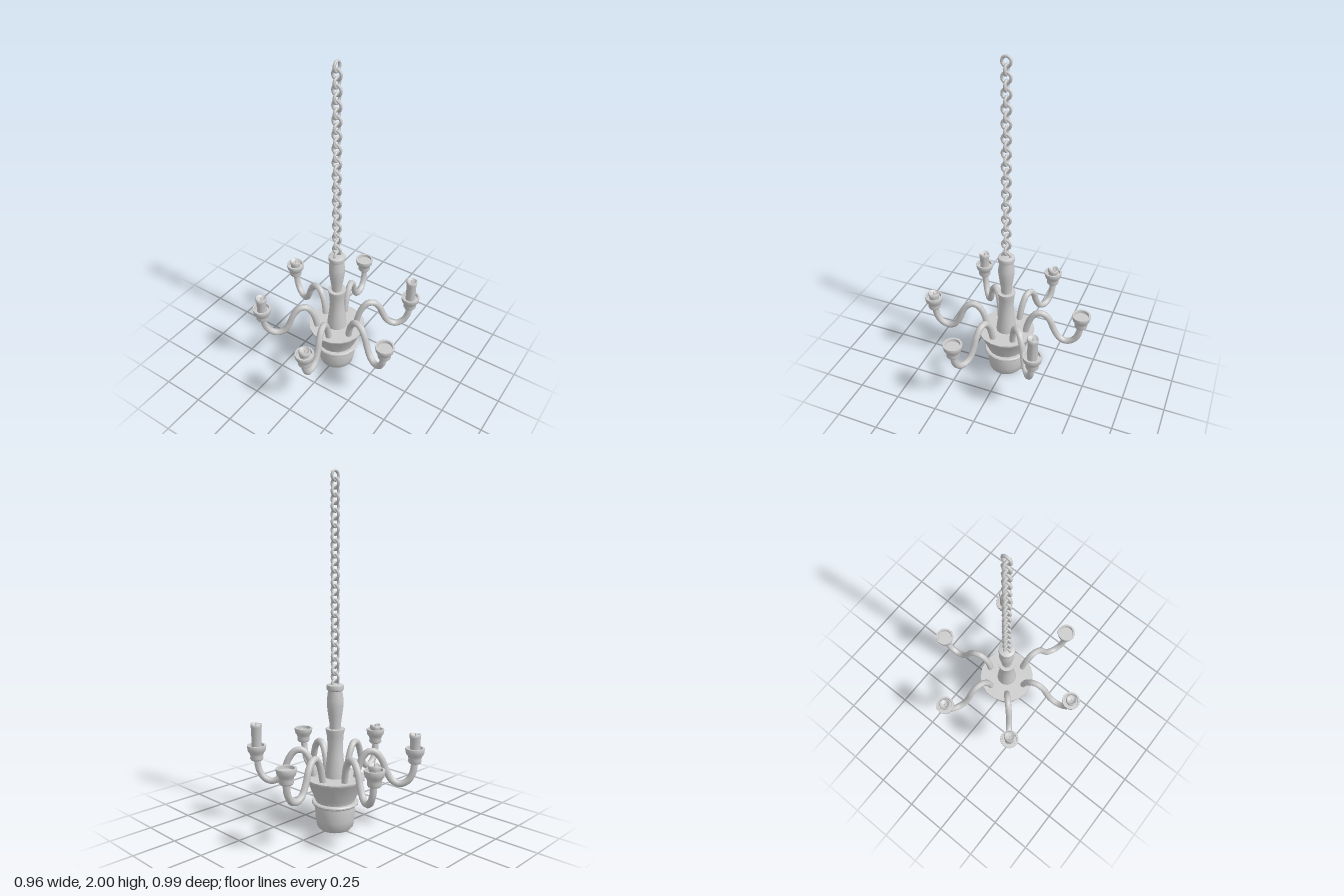
import * as THREE from 'three';
import { toCreasedNormals } from 'three/addons/utils/BufferGeometryUtils.js';

const material = new THREE.MeshStandardMaterial({ color: 0xcccccc, side: THREE.DoubleSide });

function addMesh(parent, name, geometry) {
  const mesh = new THREE.Mesh(geometry, material);
  mesh.name = name;
  parent.add(mesh);
  return mesh;
}

// Turned part from [radius, height] pairs, listed from the bottom up
function turned(points, sides) {
  const profile = points.map(([r, y]) => new THREE.Vector2(r, y));
  return toCreasedNormals(new THREE.LatheGeometry(profile, sides), 0.65);
}

// Candle with a hollowed, unevenly melted top
function candleGeometry(top) {
  const geometry = new THREE.LatheGeometry([
    [0.029, 0.44], [0.029, top - 0.03], [0.033, top - 0.018], [0.033, top - 0.006],
    [0.029, top], [0.024, top - 0.006], [0.012, top - 0.013], [0, top - 0.015],
  ].map(([r, y]) => new THREE.Vector2(r, y)), 14);
  const p = geometry.attributes.position;
  for (let i = 0; i < p.count; i++) {
    const x = p.getX(i), z = p.getZ(i);
    if (p.getY(i) > top - 0.01) {
      p.setY(i, p.getY(i) + 0.004 * Math.sin(2 * Math.atan2(z, x) + 0.6));
    }
  }
  return toCreasedNormals(geometry, 0.8);
}

export function createModel() {
  const model = new THREE.Group();
  model.name = 'chandelier';

  // Pot-shaped base with a band, closed by a flat top
  addMesh(model, 'base', turned([
    [0, 0], [0.09, 0], [0.104, 0.016], [0.112, 0.06], [0.117, 0.145], [0.112, 0.165],
    [0.122, 0.19], [0.158, 0.28], [0.17, 0.296], [0.17, 0.305], [0, 0.305],
  ], 18));
  addMesh(model, 'baseBand', turned([
    [0.11, 0.145], [0.129, 0.145], [0.134, 0.151], [0.134, 0.158], [0.129, 0.164], [0.11, 0.164],
  ], 18));

  // Central column and the turned neck above it
  addMesh(model, 'column', turned([
    [0.061, 0.3], [0.056, 0.35], [0.046, 0.43], [0.043, 0.49],
    [0.048, 0.55], [0.054, 0.577], [0.054, 0.585], [0, 0.585],
  ], 16));
  addMesh(model, 'neck', turned([
    [0.031, 0.58], [0.032, 0.61], [0.04, 0.665], [0.047, 0.72], [0.047, 0.75], [0.042, 0.785],
    [0.041, 0.803], [0.048, 0.808], [0.05, 0.82], [0.048, 0.834], [0.04, 0.838], [0, 0.838],
  ], 16));

  // Chain of links turned a quarter from one to the next
  const chain = new THREE.Group();
  chain.name = 'chain';
  model.add(chain);
  const linkGeometry = new THREE.TorusGeometry(0.0245, 0.0078, 8, 16);
  for (let i = 0; i < 29; i++) {
    const link = addMesh(chain, 'chainLink', linkGeometry);
    link.position.y = 1.966 - i * 0.0403;
    link.rotation.y = i % 2 ? 0 : Math.PI / 2;
    link.scale.y = 1.05;
  }

  // Shared arm, cup and wick shapes
  const armPath = new THREE.CatmullRomCurve3([
    [0.118, 0.28], [0.127, 0.34], [0.15, 0.41], [0.185, 0.453], [0.225, 0.452], [0.262, 0.41],
    [0.29, 0.34], [0.322, 0.287], [0.365, 0.268], [0.41, 0.288], [0.438, 0.335], [0.449, 0.405],
  ].map(([r, y], i) => new THREE.Vector3(r, y, 0.004 * Math.sin(i * 0.8))));
  const armGeometry = new THREE.TubeGeometry(armPath, 40, 0.0195, 8, false);
  const cupGeometry = turned([
    [0, 0.392], [0.033, 0.392], [0.038, 0.4], [0.037, 0.418], [0.041, 0.434], [0.051, 0.446],
    [0.056, 0.474], [0.055, 0.479], [0.044, 0.479], [0.042, 0.462], [0, 0.462],
  ], 16);
  const wickGeometry = new THREE.CylinderGeometry(0.003, 0.003, 0.022, 6);

  // Six arms around the base; a candle top of 0 means an empty cup
  [0, 0.504, 0.56, 0.504, 0, 0.605].forEach((candleTop, i) => {
    const branch = new THREE.Group();
    branch.name = 'branch';
    branch.rotation.y = -THREE.MathUtils.degToRad(19.5 + 60 * i);
    model.add(branch);
    addMesh(branch, 'arm', armGeometry);
    addMesh(branch, 'cup', cupGeometry).position.x = 0.449;
    if (candleTop) {
      addMesh(branch, 'candle', candleGeometry(candleTop)).position.x = 0.449;
      addMesh(branch, 'wick', wickGeometry).position.set(0.449, candleTop - 0.005, 0);
    }
  });
  return model;
}
